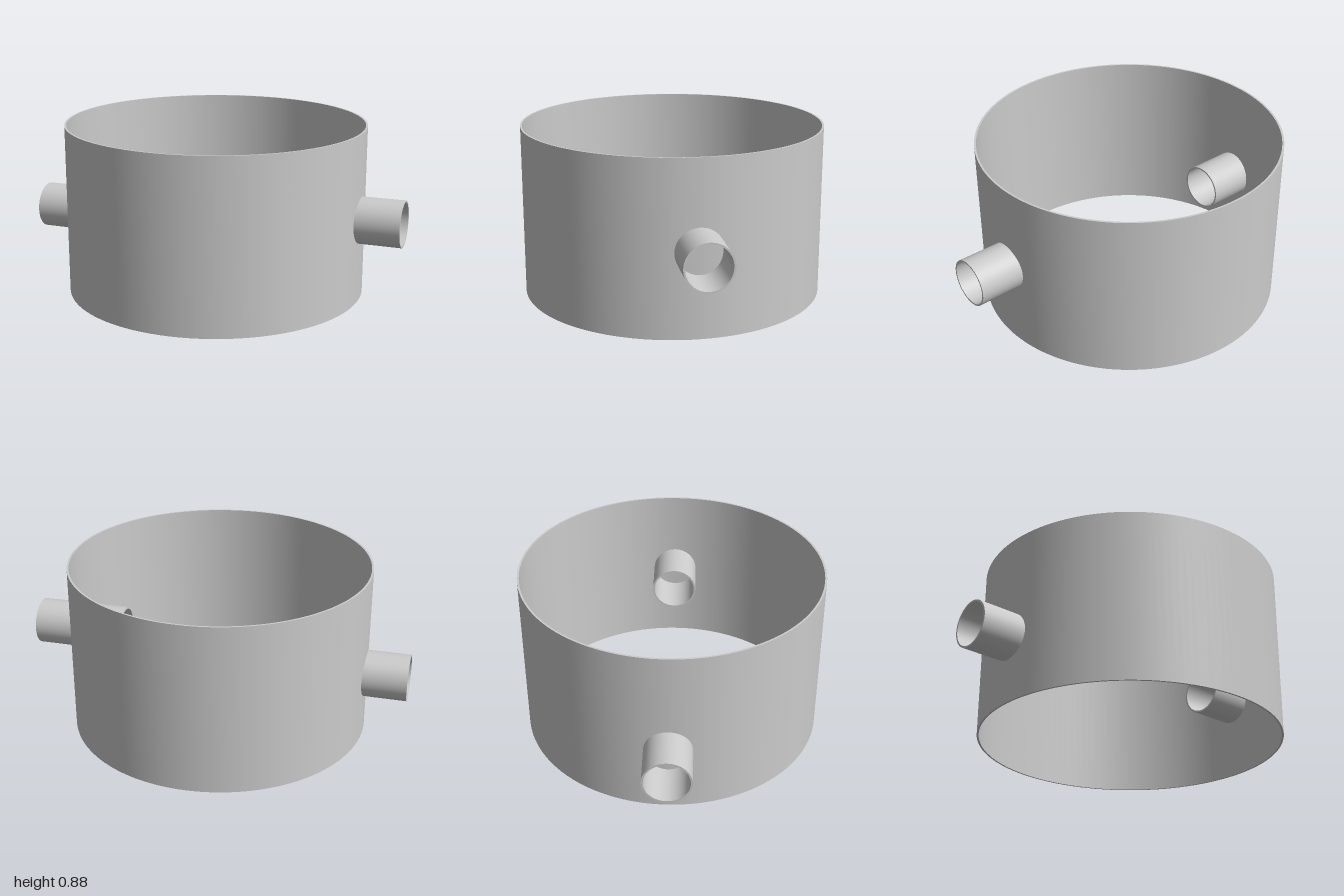
import * as THREE from 'three';
import { toCreasedNormals } from 'three/addons/utils/BufferGeometryUtils.js';

const material = new THREE.MeshStandardMaterial({ color: 0xcccccc });

// Thin-walled open tube standing on y = 0
function tube(name, outer, inner, length, segments) {
  const profile = [[inner, 0], [outer, 0], [outer, length], [inner, length], [inner, 0]]
    .map(([r, y]) => new THREE.Vector2(r, y));
  const geometry = toCreasedNormals(new THREE.LatheGeometry(profile, segments), 0.6);
  const mesh = new THREE.Mesh(geometry, material);
  mesh.name = name;
  return mesh;
}

export function createModel() {
  const group = new THREE.Group();
  group.name = 'chamberRingWithPipes';

  // Large ring wall, open at top and bottom
  group.add(tube('ringWall', 0.78, 0.77, 0.885, 128));

  // Pipe stubs passing through the wall, the left one higher than the right
  const pipes = [['leftPipe', 0.525, 0.433], ['rightPipe', -1, 0.343]];
  for (const [name, startX, y] of pipes) {
    const pipe = tube(name, 0.12, 0.111, 0.475, 64);
    pipe.rotation.z = -Math.PI / 2;
    pipe.position.set(startX, y, 0);
    group.add(pipe);
  }
  return group;
}
